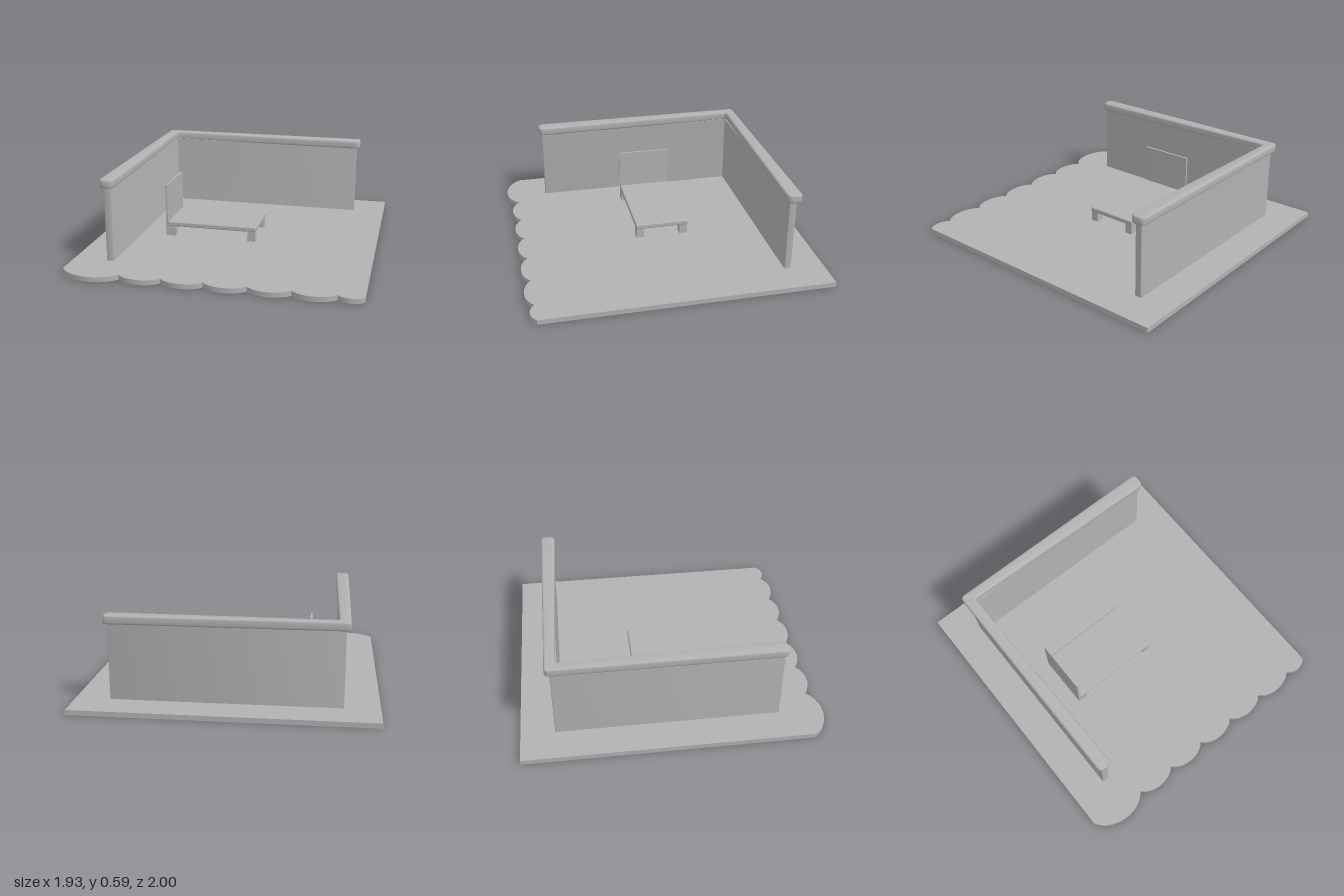
import * as THREE from 'three';
import { toCreasedNormals } from 'three/addons/utils/BufferGeometryUtils.js';
import { RoundedBoxGeometry } from 'three/addons/geometries/RoundedBoxGeometry.js';

const FLOOR_TOP = 0.033;

// Closed outline of [x, z, cornerRadius] points with rounded corners
function roundedOutline(points) {
  const shape = new THREE.Shape();
  points.forEach(([x, z, r], i) => {
    const corner = new THREE.Vector2(x, z);
    const toward = (p) => new THREE.Vector2(p[0], p[1]).sub(corner).setLength(r).add(corner);
    const a = toward(points[(i + points.length - 1) % points.length]);
    const b = toward(points[(i + 1) % points.length]);
    if (i === 0) shape.moveTo(a.x, a.y);
    else shape.lineTo(a.x, a.y);
    shape.quadraticCurveTo(x, z, b.x, b.y);
  });
  shape.closePath();
  return shape;
}

// Plan outline (x, z) raised between two heights, with an optional edge bevel
function slab(shape, bottom, top, bevel = 0) {
  const geometry = new THREE.ExtrudeGeometry(shape, {
    depth: top - bottom - 2 * bevel,
    bevelEnabled: bevel > 0,
    bevelSize: bevel,
    bevelThickness: bevel,
    bevelOffset: -bevel,
    bevelSegments: 3,
    curveSegments: 10,
  });
  geometry.rotateX(Math.PI / 2);
  geometry.translate(0, top - bevel, 0);
  return toCreasedNormals(geometry, 0.6);
}

export function createModel() {
  const group = new THREE.Group();
  const grey = new THREE.MeshStandardMaterial({ color: 0xb2b2b2 });
  grey.name = 'plain grey';

  const add = (name, geometry) => {
    const mesh = new THREE.Mesh(geometry, grey);
    mesh.name = name;
    group.add(mesh);
  };
  const addBox = (name, [x0, x1], [y0, y1], [z0, z1], radius = 0) => {
    const size = [x1 - x0, y1 - y0, z1 - z0];
    const geometry = radius
      ? new RoundedBoxGeometry(...size, 3, radius)
      : new THREE.BoxGeometry(...size);
    geometry.translate((x0 + x1) / 2, (y0 + y1) / 2, (z0 + z1) / 2);
    add(name, geometry);
  };

  // Floor with a scalloped front edge
  const floor = new THREE.Shape();
  floor.moveTo(-0.968, -1);
  floor.lineTo(-0.968, 0.895);
  floor.bezierCurveTo(-0.9, 1.02, -0.67, 1.045, -0.58, 0.925);
  const cusps = [-0.58, -0.304, -0.029, 0.247, 0.523, 0.8];
  for (let i = 0; i < cusps.length - 1; i++) {
    floor.bezierCurveTo(cusps[i] + 0.06, 0.998, cusps[i + 1] - 0.06, 0.998, cusps[i + 1], 0.925);
  }
  floor.bezierCurveTo(0.84, 0.973, 0.92, 0.973, 0.963, 0.925);
  floor.lineTo(0.963, -1);
  floor.closePath();
  add('floor', slab(floor, 0, FLOOR_TOP));

  // Two walls meeting in an L
  const walls = roundedOutline([
    [-0.742, -0.775, 0.005], [0.737, -0.775, 0.005], [0.737, -0.728, 0.005],
    [-0.692, -0.728, 0.003], [-0.692, 0.71, 0.005], [-0.742, 0.71, 0.005],
  ]);
  add('walls', slab(walls, FLOOR_TOP, 0.535));

  // Rounded coping that widens slightly towards both ends
  const coping = roundedOutline([
    [-0.768, -0.805, 0.03], [0.763, -0.805, 0.03], [0.763, -0.705, 0.04],
    [-0.695, -0.735, 0.025], [-0.672, 0.73, 0.04], [-0.768, 0.73, 0.04],
  ]);
  add('wallCoping', slab(coping, 0.53, 0.588, 0.012));

  // Low bed: top, four legs and a thin headboard
  addBox('bedTop', [-0.502, 0.14], [0.102, 0.138], [-0.223, 0.152], 0.01);
  for (const x of [[-0.5, -0.445], [0.078, 0.132]]) {
    for (const z of [[-0.217, -0.162], [0.097, 0.15]]) {
      addBox('bedLeg', x, [FLOOR_TOP, 0.106], z);
    }
  }
  addBox('headboard', [-0.515, -0.501], [FLOOR_TOP, 0.405], [-0.22, 0.15]);

  return group;
}
